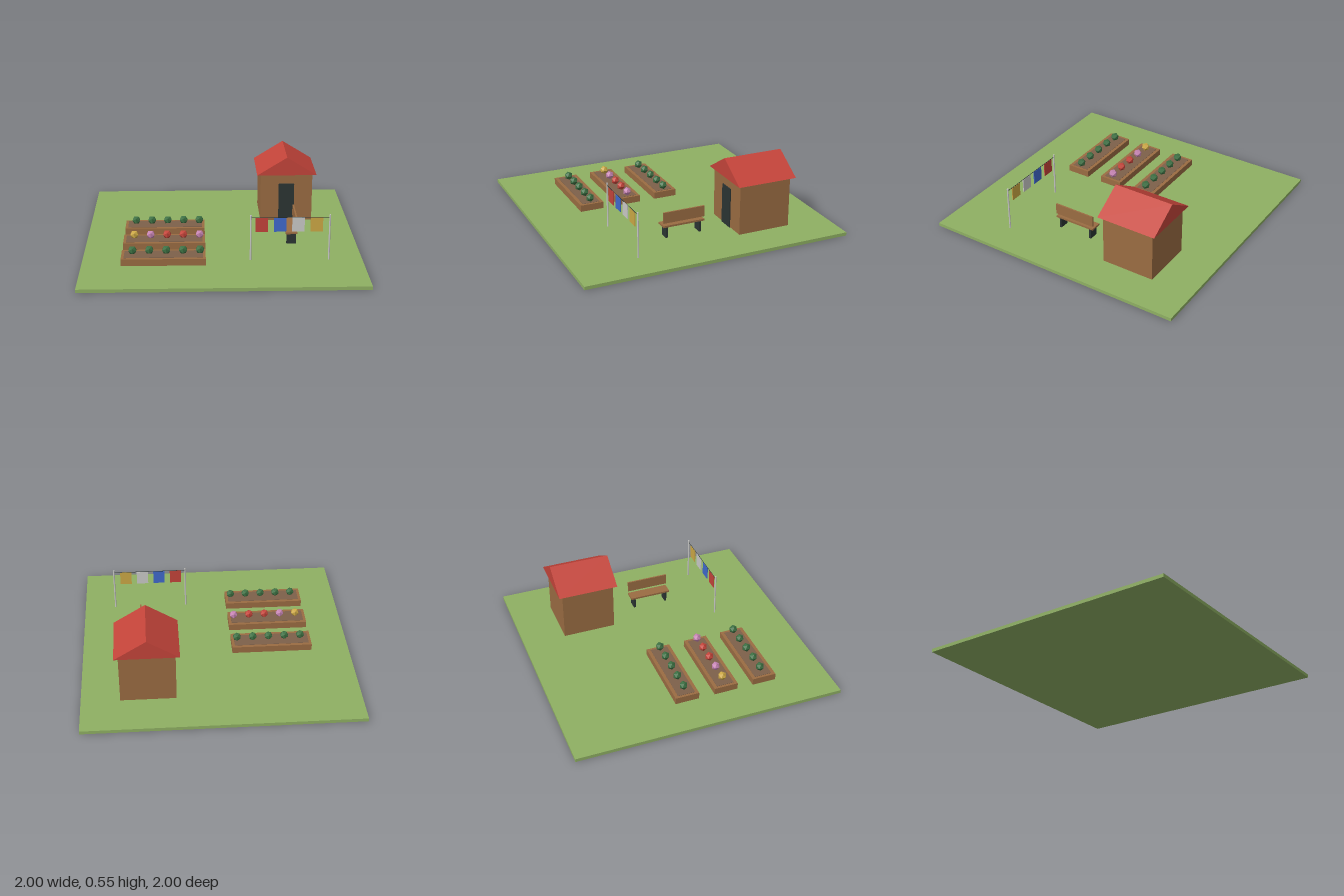
import * as THREE from 'three';

const mat = (name, color, flatShading = false) => {
  const m = new THREE.MeshStandardMaterial({ color, flatShading });
  m.name = name;
  return m;
};

export function createModel() {
  const grass = mat('grass', 0x8fb063);
  const wood = mat('wood', 0x9a6c42);
  const soil = mat('soil', 0x7d604a);
  const red = mat('red', 0xc4443a, true);
  const dark = mat('charcoal', 0x2b3433);
  const grey = mat('light grey', 0xcacac8);
  const blue = mat('blue', 0x4069cc);
  const yellow = mat('yellow', 0xcca845, true);
  const pink = mat('pink', 0xc583b2, true);
  const leaf = mat('leaf green', 0x3c6f42, true);

  const model = new THREE.Group();
  model.name = 'garden';
  const group = (name) => {
    const g = new THREE.Group();
    g.name = name;
    model.add(g);
    return g;
  };
  const add = (parent, name, geometry, material, x = 0, y = 0, z = 0) => {
    const mesh = new THREE.Mesh(geometry, material);
    mesh.name = name;
    mesh.position.set(x, y, z);
    parent.add(mesh);
    return mesh;
  };
  // Box given by its low and high limits on each axis
  const box = (parent, name, material, [x0, x1], [y0, y1], [z0, z1]) =>
    add(parent, name, new THREE.BoxGeometry(x1 - x0, y1 - y0, z1 - z0), material,
      (x0 + x1) / 2, (y0 + y1) / 2, (z0 + z1) / 2);

  // Lawn
  box(model, 'lawn', grass, [-1, 1], [0, 0.025], [-1, 1]);

  // Shed with a gabled roof and a door
  const shed = group('shed');
  box(shed, 'walls', wood, [0.32, 0.72], [0.02, 0.405], [-0.68, -0.28]);
  box(shed, 'door', dark, [0.46, 0.58], [0.025, 0.325], [-0.28, -0.272]);
  const gable = new THREE.Shape([
    new THREE.Vector2(-0.23, 0), new THREE.Vector2(0.23, 0), new THREE.Vector2(0, 0.143),
  ]);
  add(shed, 'roof', new THREE.ExtrudeGeometry(gable, { depth: 0.456, bevelEnabled: false }),
    red, 0.52, 0.402, -0.71);

  // Raised beds, each with a row of five plants
  const plantGeometry = new THREE.IcosahedronGeometry(0.033);
  const rows = [
    [-0.08, [leaf, leaf, leaf, leaf, leaf]],
    [0.22, [yellow, pink, red, red, pink]],
    [0.52, [leaf, leaf, leaf, leaf, leaf]],
  ];
  for (const [z, plants] of rows) {
    const bed = group('raisedBed');
    box(bed, 'bedFrame', wood, [-0.72, -0.12], [0.005, 0.075], [z - 0.09, z + 0.09]);
    box(bed, 'soil', soil, [-0.7, -0.14], [0.07, 0.077], [z - 0.065, z + 0.065]);
    plants.forEach((m, i) => add(bed, 'plant', plantGeometry, m, -0.64 + i * 0.12, 0.11, z));
  }

  // Bench facing away from +x
  const bench = group('bench');
  box(bench, 'seat', wood, [0.475, 0.56], [0.108, 0.122], [-0.08, 0.24]);
  box(bench, 'backrest', wood, [0.55, 0.562], [0.143, 0.225], [-0.08, 0.24]);
  for (const z of [-0.05, 0.21]) {
    box(bench, 'leg', dark, [0.483, 0.553], [0.02, 0.108], [z - 0.008, z + 0.008]);
  }

  // Clothesline with four cloths
  const line = group('clothesline');
  for (const x of [0.2, 0.76]) {
    add(line, 'post', new THREE.CylinderGeometry(0.006, 0.006, 0.345, 8), grey, x, 0.1925, 0.52);
  }
  const rope = add(line, 'rope', new THREE.CylinderGeometry(0.002, 0.002, 0.56, 6), dark, 0.48, 0.346, 0.52);
  rope.rotation.z = Math.PI / 2;
  [red, blue, grey, yellow].forEach((m, i) => {
    const x = 0.277 + i * 0.13;
    box(line, 'cloth', m, [x - 0.044, x + 0.044], [0.24, 0.344], [0.517, 0.523]);
  });

  return model;
}
